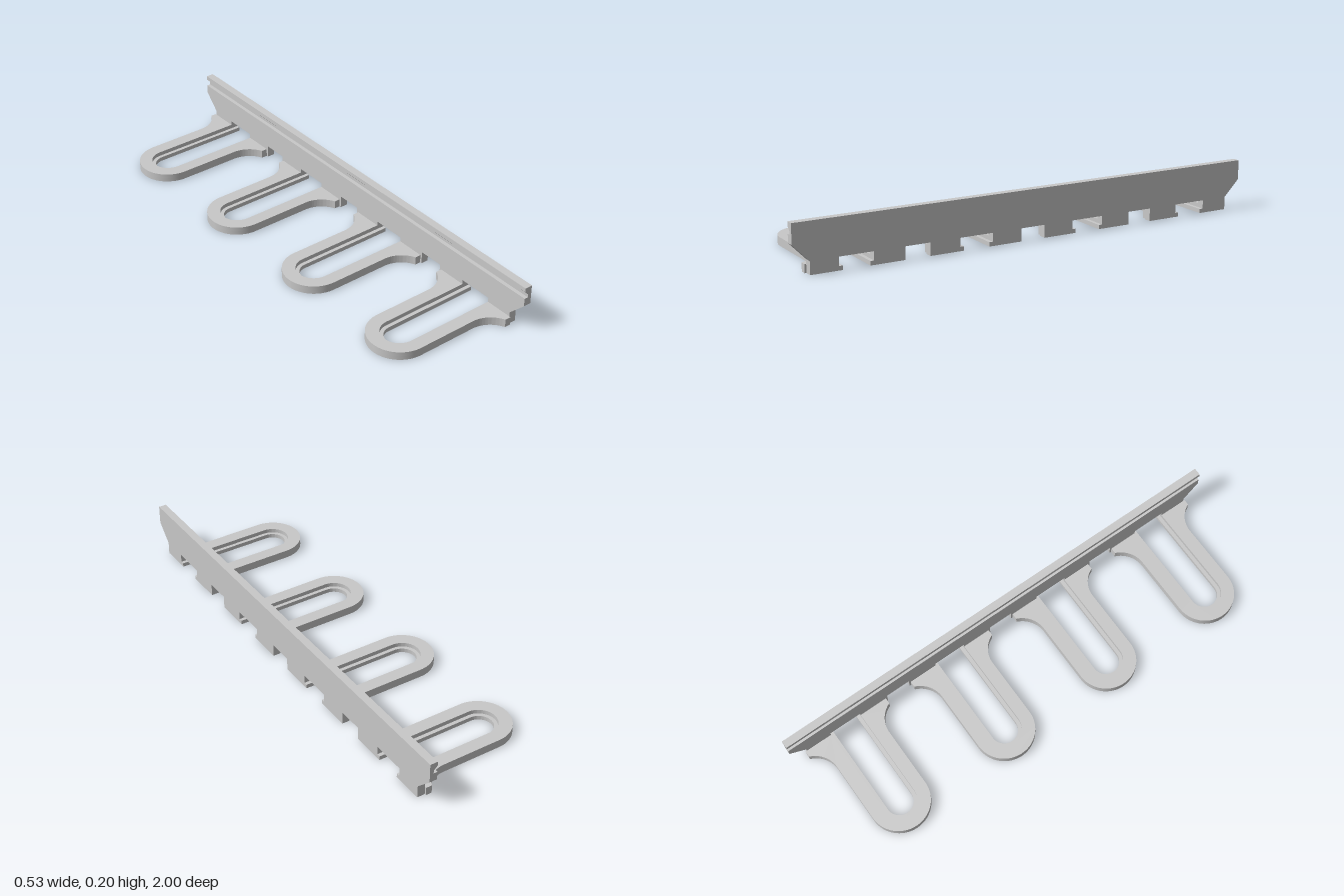
import * as THREE from 'three';
import { toCreasedNormals } from 'three/addons/utils/BufferGeometryUtils.js';

const BACK = 0.267, FACE = 0.235; // outer and inner faces of the rail
const HOOK_H = 0.034, STEP = 0.017; // loop height and height of the slot's inner ledge
const CENTRES = [-0.75, -0.25, 0.25, 0.75];

function extrude(shape, depth) {
  return new THREE.ExtrudeGeometry(shape, { depth, bevelEnabled: false, curveSegments: 20 });
}

// U-shaped loop outline in x/z: flared root, rounded tip, open slot
function loopShape(slot) {
  const r = 0.123, tip = -0.267 + r, root = 0.19, start = 0.11, R = 0.108;
  const sweep = Math.acos(1 - (root - r) / R);
  const s = new THREE.Shape();
  s.moveTo(FACE, slot);
  s.lineTo(FACE, root);
  s.lineTo(start + R * Math.sin(sweep), root);
  s.absarc(start, r + R, R, -Math.PI / 2 + sweep, -Math.PI / 2, true);
  s.lineTo(tip, r);
  s.absarc(tip, 0, r, Math.PI / 2, Math.PI * 1.5, false);
  s.lineTo(start, -r);
  s.absarc(start, -r - R, R, Math.PI / 2, Math.PI / 2 - sweep, true);
  s.lineTo(FACE, -root);
  s.lineTo(FACE, -slot);
  s.lineTo(tip, -slot);
  s.absarc(tip, 0, slot, Math.PI * 1.5, Math.PI / 2, true);
  s.closePath();
  return s;
}

// Lower rail outline: chamfered ends, stepped slot openings and square notches
function lowerRailShape() {
  const top = 0.12, cut = 0.052;
  const p = [[-1, top], [-0.933, 0.052], [-0.933, 0]];
  CENTRES.forEach((c, i) => {
    p.push([c - 0.055, 0], [c - 0.055, STEP], [c - 0.07, STEP], [c - 0.07, cut],
      [c + 0.07, cut], [c + 0.07, STEP], [c + 0.055, STEP], [c + 0.055, 0]);
    if (i < 3) {
      const n = c + 0.25;
      p.push([n - 0.052, 0], [n - 0.052, cut], [n + 0.052, cut], [n + 0.052, 0]);
    }
  });
  p.push([0.933, 0], [0.933, 0.052], [1, top]);
  return new THREE.Shape(p.map(([u, v]) => new THREE.Vector2(u, v)));
}

export function createModel() {
  const model = new THREE.Group();
  model.name = 'hookRail';
  const grey = new THREE.MeshStandardMaterial({ color: 0xc8c8c8 });
  grey.name = 'light grey';

  const add = (geometry, name, parent = model) => {
    const mesh = new THREE.Mesh(geometry, grey);
    mesh.name = name;
    parent.add(mesh);
    return mesh;
  };

  // Upper rail with a bevelled groove along its inner face
  const profile = new THREE.Shape([
    [FACE, 0.12], [BACK, 0.12], [BACK, 0.2], [FACE, 0.2],
    [FACE, 0.183], [0.251, 0.167], [0.251, 0.154], [FACE, 0.154],
  ].map(([x, y]) => new THREE.Vector2(x, y)));
  add(extrude(profile, 2).translate(0, 0, -1), 'upperRail');

  // Lower rail
  add(extrude(lowerRailShape(), BACK - FACE).rotateY(Math.PI / 2).translate(FACE, 0, 0), 'lowerRail');

  // Four loops, each with a narrow lower tier and a wider upper tier
  const tier = (slot, y0, y1) => toCreasedNormals(
    extrude(loopShape(slot), y1 - y0).rotateX(Math.PI / 2).translate(0, y1, 0), 0.5);
  const lower = tier(0.055, 0, STEP), upper = tier(0.07, STEP, HOOK_H);
  CENTRES.forEach((z) => {
    const loop = new THREE.Group();
    loop.name = 'loop';
    loop.position.z = z;
    add(lower, 'loopLowerTier', loop);
    add(upper, 'loopUpperTier', loop);
    model.add(loop);
  });
  return model;
}
